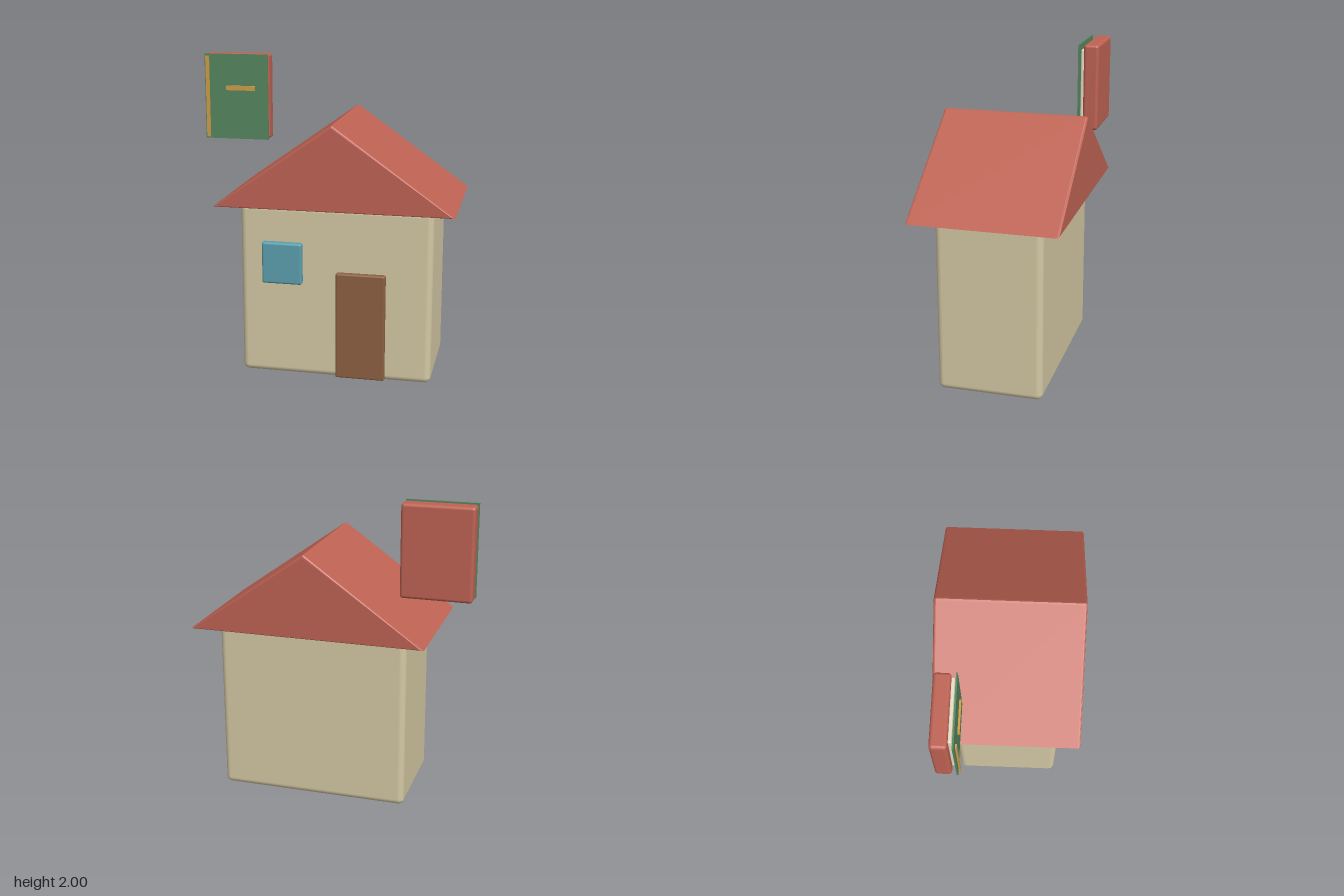
import * as THREE from 'three';
import { RoundedBoxGeometry } from 'three/addons/geometries/RoundedBoxGeometry.js';

const material = (name, color) => {
  const m = new THREE.MeshStandardMaterial({ color });
  m.name = name;
  return m;
};

export function createModel() {
  const model = new THREE.Group();
  model.name = 'houseAndBook';

  const plaster = material('plaster', 0xd4c8a4);
  const brickRed = material('brickRed', 0xbe6253);
  const wood = material('wood', 0x8b6040);
  const glass = material('glass', 0x5a9fae);
  const green = material('green', 0x55865f);
  const gold = material('gold', 0xcf9f48);
  const paper = material('paper', 0xece2c8);

  // Box given by its limits on each axis; r > 0 rounds the edges
  const block = (parent, name, mat, [x0, x1], [y0, y1], [z0, z1], r = 0) => {
    const w = x1 - x0, h = y1 - y0, d = z1 - z0;
    const geo = r ? new RoundedBoxGeometry(w, h, d, 4, r) : new THREE.BoxGeometry(w, h, d);
    const mesh = new THREE.Mesh(geo, mat);
    mesh.position.set((x0 + x1) / 2, (y0 + y1) / 2, (z0 + z1) / 2);
    mesh.name = name;
    parent.add(mesh);
  };

  // House
  const house = new THREE.Group();
  house.name = 'house';
  model.add(house);
  block(house, 'walls', plaster, [-0.48, 0.75], [0, 1.125], [-0.335, 0.335], 0.04);
  block(house, 'door', wood, [0.145, 0.46], [0.013, 0.71], [0.33, 0.375], 0.012);
  block(house, 'window', glass, [-0.33, -0.072], [0.62, 0.89], [0.33, 0.382], 0.015);

  // Gabled roof: a triangle extruded from back to front with softened gable edges
  const gable = new THREE.Shape([
    new THREE.Vector2(-0.62, 1.125),
    new THREE.Vector2(0.89, 1.125),
    new THREE.Vector2(0.145, 1.655),
    new THREE.Vector2(0.135, 1.66),
    new THREE.Vector2(0.125, 1.655),
  ]);
  const bevel = 0.015;
  const roofGeometry = new THREE.ExtrudeGeometry(gable, {
    depth: 0.93 - 2 * bevel, bevelEnabled: true, bevelSegments: 3,
    bevelThickness: bevel, bevelSize: bevel, bevelOffset: -bevel,
  });
  roofGeometry.translate(0, 0, -0.465 + bevel);
  const roof = new THREE.Mesh(roofGeometry, brickRed);
  roof.name = 'roof';
  house.add(roof);

  // Book floating beside the roof, layered from back to front
  const book = new THREE.Group();
  book.name = 'book';
  model.add(book);
  block(book, 'bookBody', brickRed, [-0.89, -0.45], [1.425, 2], [-0.407, -0.305], 0.02);
  block(book, 'bookPages', paper, [-0.845, -0.465], [1.46, 1.965], [-0.308, -0.285], 0.008);
  block(book, 'bookCover', green, [-0.89, -0.45], [1.425, 2], [-0.279, -0.269]);
  block(book, 'spineStrip', gold, [-0.88, -0.855], [1.437, 1.987], [-0.262, -0.253]);
  block(book, 'titleBar', gold, [-0.74, -0.538], [1.757, 1.788], [-0.266, -0.254]);

  return model;
}
